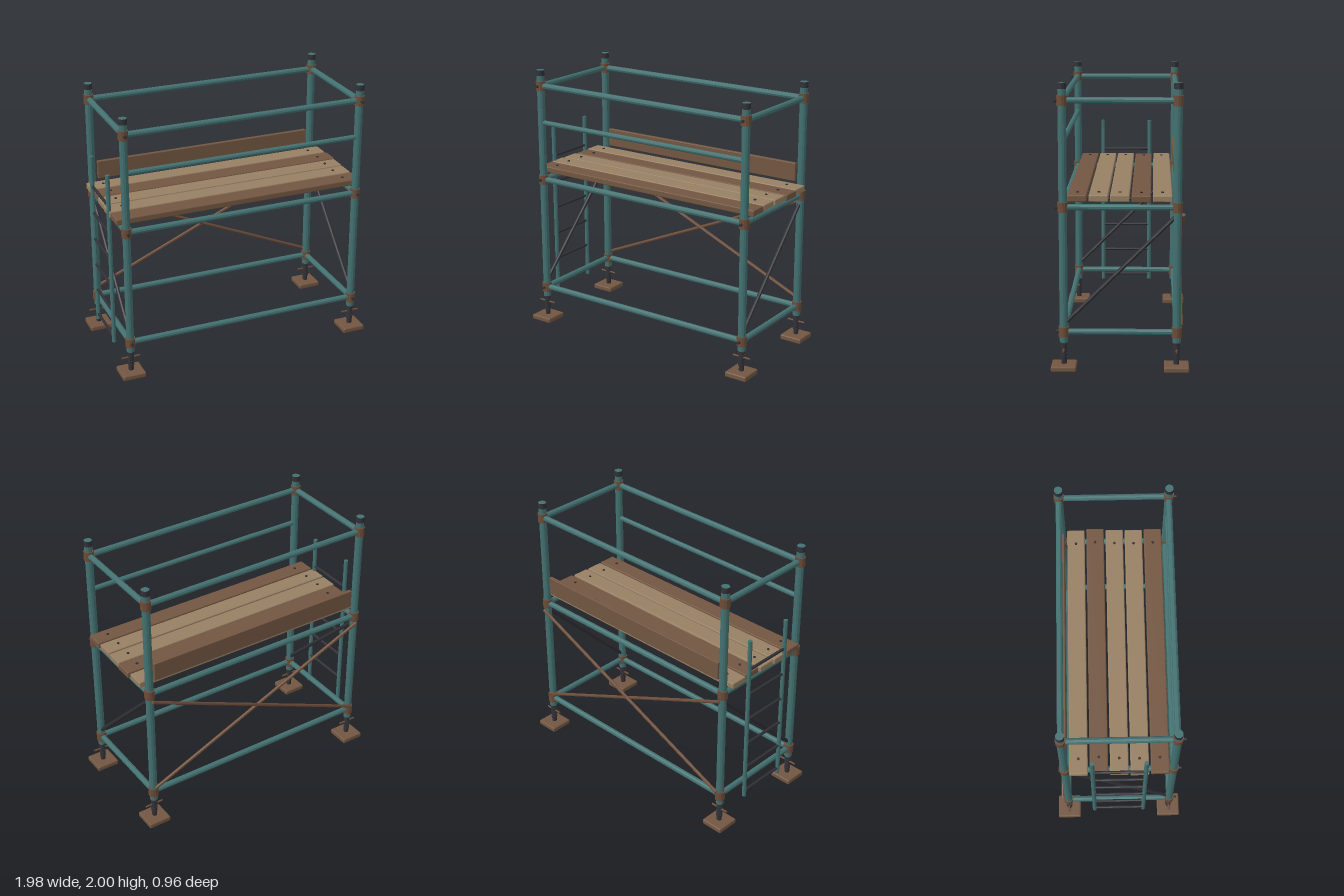
import * as THREE from 'three';
import { RoundedBoxGeometry } from 'three/addons/geometries/RoundedBoxGeometry.js';

const material = (name, color) => {
  const m = new THREE.MeshStandardMaterial({ color, flatShading: true });
  m.name = name;
  return m;
};

export function createModel() {
  const model = new THREE.Group();
  model.name = 'scaffoldTower';
  const teal = material('tealPaint', 0x437070);
  const brown = material('brownWood', 0x725641);
  const tan = material('tanWood', 0x967f63);
  const rust = material('rustySteel', 0x6c4c38);
  const dark = material('darkSteel', 0x303036);

  const PX = 0.9, PZ = 0.392;
  const V = (x, y, z) => new THREE.Vector3(x, y, z);
  const UP = V(0, 1, 0);

  const add = (name, geometry, mat, x, y, z, parent = model) => {
    const mesh = new THREE.Mesh(geometry, mat);
    mesh.name = name;
    mesh.position.set(x, y, z);
    parent.add(mesh);
    return mesh;
  };
  // Straight tube between two points
  const tube = (name, a, b, r, mat, sides = 10, parent = model) => {
    const mid = a.clone().add(b).multiplyScalar(0.5);
    const mesh = add(name, new THREE.CylinderGeometry(r, r, a.distanceTo(b), sides), mat, mid.x, mid.y, mid.z, parent);
    mesh.quaternion.setFromUnitVectors(UP, b.clone().sub(a).normalize());
    return mesh;
  };

  // Corner legs: post, cap, couplers, screw jack and foot plate
  const levels = [0.27, 1.15, 1.88];
  for (const sx of [-1, 1]) for (const sz of [-1, 1]) {
    const leg = new THREE.Group();
    leg.name = 'cornerLeg';
    leg.position.set(sx * PX, 0, sz * PZ);
    model.add(leg);
    tube('post', V(0, 0.195, 0), V(0, 1.97, 0), 0.029, teal, 12, leg);
    add('postCap', new THREE.CylinderGeometry(0.03, 0.031, 0.042, 12), [dark, teal, dark], 0, 1.979, 0, leg);
    for (const y of levels) {
      add('coupler', new THREE.CylinderGeometry(0.037, 0.037, 0.07, 12), rust, 0, y, 0, leg);
      tube('couplerBolt', V(0, y, 0.03), V(0, y, 0.055), 0.011, dark, 6, leg);
    }
    tube('jackScrew', V(0, 0.035, 0), V(0, 0.2, 0), 0.019, dark, 10, leg);
    for (let i = 0; i < 5; i++) {
      add('jackThread', new THREE.CylinderGeometry(0.024, 0.024, 0.01, 10), dark, 0, 0.085 + i * 0.024, 0, leg);
    }
    tube('jackHandle', V(-0.07, 0.145, 0), V(0.07, 0.145, 0), 0.007, rust, 8, leg);
    add('footPlate', new RoundedBoxGeometry(0.175, 0.04, 0.175, 2, 0.01), brown, 0, 0.02, 0, leg);
  }

  // Horizontal rails on all four sides
  for (const y of levels) for (const s of [-1, 1]) {
    tube('longRail', V(-PX, y, s * PZ), V(PX, y, s * PZ), 0.022, teal);
    tube('endRail', V(s * PX, y, -PZ), V(s * PX, y, PZ), 0.022, teal);
  }
  tube('frontMidRail', V(-PX, 1.597, PZ), V(PX, 1.597, PZ), 0.019, teal);

  // Crossed braces at the back, single braces at the ends
  tube('backBrace', V(-PX, 1.1, -0.423), V(PX, 0.315, -0.423), 0.0125, rust, 8);
  tube('backBrace', V(PX, 1.1, -0.433), V(-PX, 0.315, -0.433), 0.0125, rust, 8);
  for (const s of [-1, 1]) {
    tube('endBrace', V(s * PX, 0.32, PZ), V(s * PX, 1.1, -PZ), 0.014, dark, 8);
  }

  // Deck planks with nails, slightly staggered
  const plankMats = [tan, brown, tan, tan, brown];
  const stagger = [-0.003, 0.008, -0.003, -0.007, -0.002];
  plankMats.forEach((mat, i) => {
    const z = -0.289 + i * 0.1455, x = stagger[i];
    add('deckPlank', new RoundedBoxGeometry(1.915, 0.046, 0.133, 2, 0.008), mat, x, 1.219, z);
    for (const s of [-1, 1]) {
      add('plankNail', new THREE.CylinderGeometry(0.01, 0.01, 0.008, 8), dark, x + s * 0.843, 1.244, z);
    }
  });

  // Toe board along the back edge
  add('toeBoard', new RoundedBoxGeometry(1.716, 0.138, 0.03, 2, 0.005), brown, 0, 1.319, -0.387);

  // Ladder at the right end
  const ladder = new THREE.Group();
  ladder.name = 'ladder';
  ladder.position.x = -0.96;
  model.add(ladder);
  for (const s of [-1, 1]) {
    tube('ladderStile', V(0, 0.178, s * 0.19), V(0, 1.515, s * 0.19), 0.016, teal, 10, ladder);
  }
  for (let i = 0; i < 6; i++) {
    const y = 0.221 + i * 0.2118;
    tube('ladderRung', V(0, y, -0.19), V(0, y, 0.19), 0.011, dark, 8, ladder);
  }

  return model;
}
